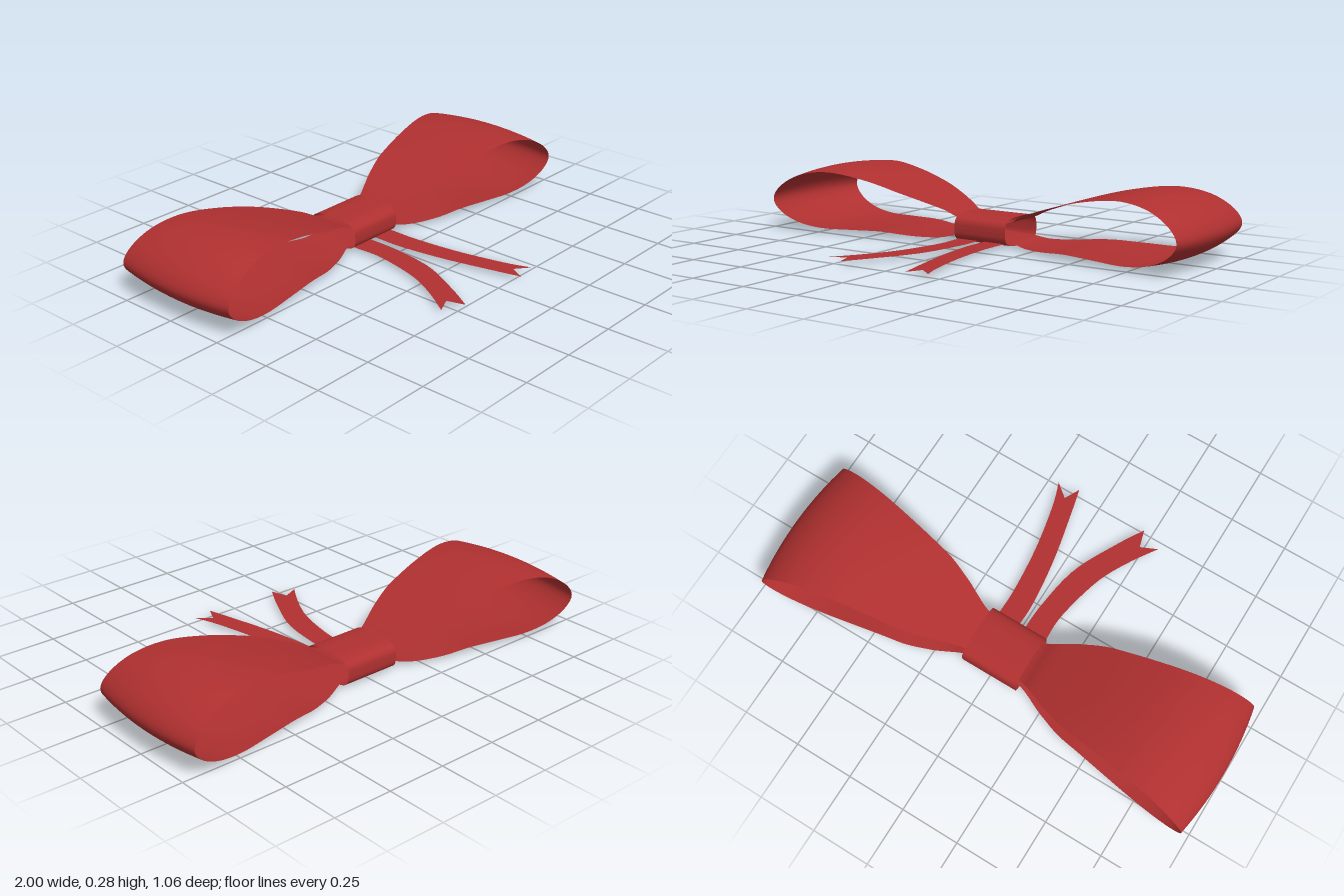
import * as THREE from 'three';

const Z0 = -0.25; // depth of the bow's centre line
const vec = ([x, y]) => new THREE.Vector2(x, y);

// Half-width of the loop ribbon at distance x from the knot
const pinch = new THREE.SplineCurve([[0, 0.085], [0.12, 0.093], [0.25, 0.148], [0.4, 0.19]].map(vec));
function halfWidth(x) {
  return x < 0.4 ? pinch.getPoint(Math.max(x, 0) / 0.4).y : 0.19 + (x - 0.4) * 0.165;
}

// Ribbon loop: a side profile swept across its width, slightly domed in the middle
function loopGeometry() {
  const profile = new THREE.SplineCurve([
    [0, 0.075], [0.125, 0.102], [0.2, 0.137], [0.37, 0.197], [0.55, 0.25], [0.72, 0.277], [0.86, 0.257],
    [0.96, 0.2], [1, 0.132], [0.96, 0.07], [0.87, 0.025], [0.75, 0.006], [0.6, 0.01],
    [0.45, 0.017], [0.3, 0.011], [0.2, 0.013], [0.125, 0.028], [0, 0.035],
  ].map(vec));
  const geo = new THREE.PlaneGeometry(1, 2, 120, 16);
  const pos = geo.attributes.position;
  for (let i = 0; i < pos.count; i++) {
    const p = profile.getPoint(pos.getX(i) + 0.5);
    const v = pos.getY(i);
    const dome = v * v * THREE.MathUtils.smoothstep(p.x, 0.1, 0.7);
    pos.setXYZ(i, p.x * (1 - 0.028 * dome), 0.13 + (p.y - 0.13) * (1 - 0.1 * dome), Z0 - v * halfWidth(p.x));
  }
  geo.computeVertexNormals();
  return geo;
}

// Knot: open band with a rounded, flattened section
function knotGeometry() {
  const geo = new THREE.CylinderGeometry(1, 1, 0.25, 64, 1, true);
  geo.rotateZ(Math.PI / 2);
  const pos = geo.attributes.position;
  const soft = (s) => Math.sign(s) * Math.abs(s) ** 0.6;
  for (let i = 0; i < pos.count; i++) {
    pos.setY(i, 0.06 + 0.06 * soft(pos.getY(i)));
    pos.setZ(i, Z0 + 0.12 * soft(pos.getZ(i)));
  }
  geo.computeVertexNormals();
  return geo;
}

// Flat tail between two edge curves, with a notched end; points are (x, z)
function tailGeometry(edgeA, notch, edgeB) {
  const a = new THREE.SplineCurve(edgeA.map(vec)).getPoints(24);
  const b = new THREE.SplineCurve(edgeB.map(vec)).getPoints(24).reverse();
  const geo = new THREE.ShapeGeometry(new THREE.Shape([...a, vec(notch), ...b]));
  geo.rotateX(Math.PI / 2);
  geo.translate(0, 0.015, 0);
  return geo;
}

export function createModel() {
  const group = new THREE.Group();
  const red = new THREE.MeshStandardMaterial({ color: 0xb03030, side: THREE.DoubleSide });
  const add = (name, geo) => {
    const mesh = new THREE.Mesh(geo, red);
    mesh.name = name;
    group.add(mesh);
    return mesh;
  };

  const loop = loopGeometry();
  add('leftLoop', loop);
  add('rightLoop', loop).scale.x = -1;
  add('knot', knotGeometry());

  add('rightTail', tailGeometry(
    [[-0.115, -0.25], [-0.115, -0.13], [-0.115, 0], [-0.16, 0.2], [-0.225, 0.34], [-0.305, 0.465]],
    [-0.235, 0.433],
    [[-0.015, -0.25], [-0.015, -0.13], [-0.02, 0], [-0.055, 0.2], [-0.145, 0.39], [-0.213, 0.508]],
  ));
  add('leftTail', tailGeometry(
    [[0.012, -0.25], [0.012, -0.13], [0.013, 0], [0.04, 0.2], [0.083, 0.4], [0.113, 0.525]],
    [0.146, 0.46],
    [[0.11, -0.25], [0.11, -0.13], [0.11, 0], [0.13, 0.2], [0.17, 0.4], [0.205, 0.508]],
  ));
  return group;
}
